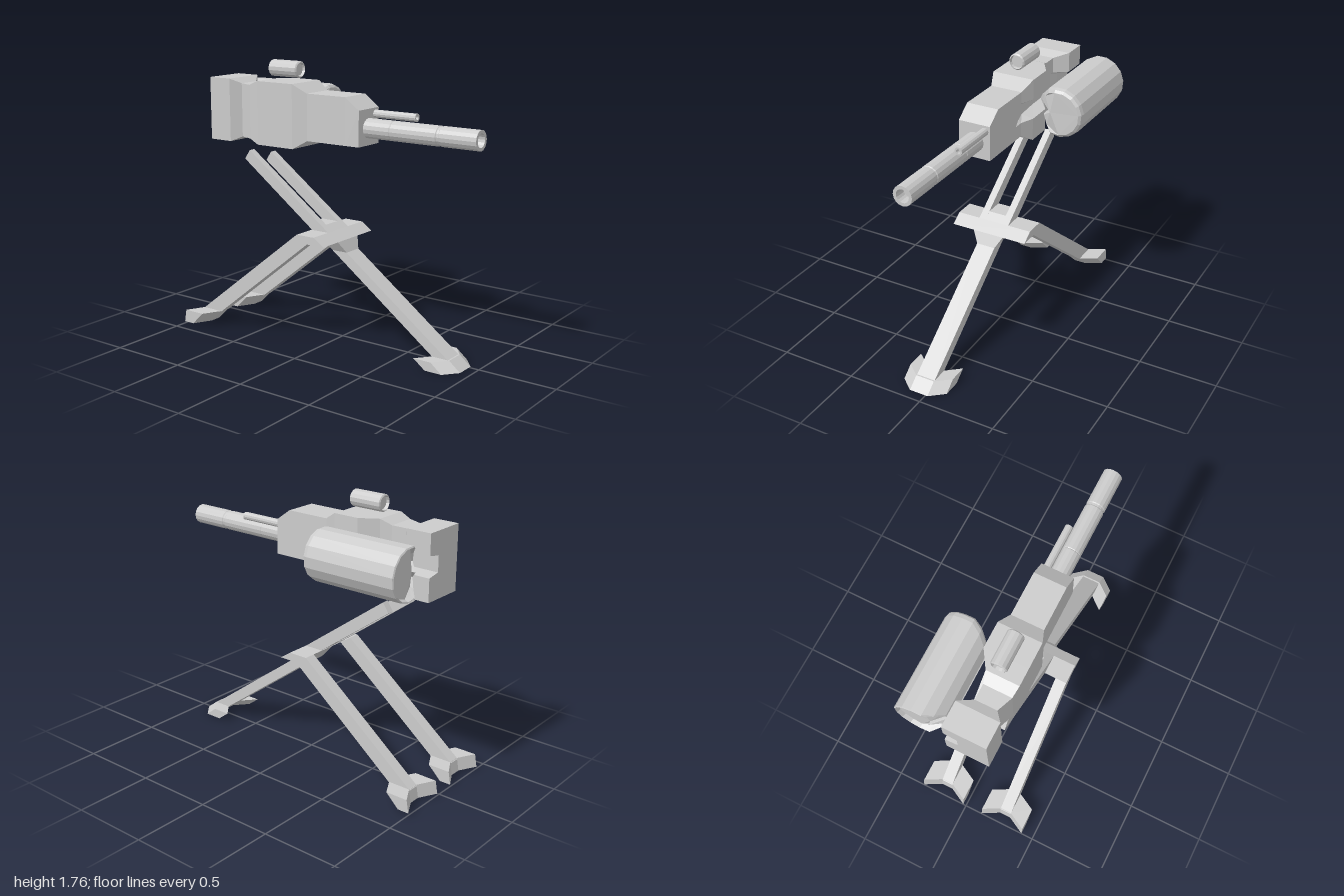
import * as THREE from 'three';

const material = new THREE.MeshStandardMaterial({ color: 0xcccccc, flatShading: true, side: THREE.DoubleSide });

// Skin a row of matching cross-sections ([x, y, z] loops) and close both ends.
// axis: the direction the row runs along (0 x, 1 y, 2 z).
function loft(name, sections, axis) {
  const n = sections[0].length, tris = [];
  const flat = (p) => new THREE.Vector2(...p.filter((_, i) => i !== axis));
  for (let s = 0; s < sections.length - 1; s++) {
    const a = sections[s], b = sections[s + 1];
    for (let i = 0; i < n; i++) {
      const j = (i + 1) % n;
      tris.push([a[i], a[j], b[j]], [a[i], b[j], b[i]]);
    }
  }
  [sections[0], sections[sections.length - 1]].forEach((loop, end) => {
    const contour = loop.map(flat);
    const turn = Math.sign(THREE.ShapeUtils.area(contour));
    for (const f of THREE.ShapeUtils.triangulateShape(contour.slice(), [])) {
      const same = Math.sign(THREE.ShapeUtils.area(f.map((i) => contour[i]))) === turn;
      const t = f.map((i) => loop[i]);
      tris.push(same === (end === 1) ? t : t.reverse());
    }
  });
  // turn the skin outward
  let volume = 0;
  const [A, B, C] = [0, 1, 2].map(() => new THREE.Vector3());
  for (const [p, q, r] of tris) volume += A.set(...p).dot(B.set(...q).cross(C.set(...r)));
  if (volume < 0) tris.forEach((t) => t.reverse());
  const geometry = new THREE.BufferGeometry();
  geometry.setAttribute('position', new THREE.Float32BufferAttribute(tris.flat(2), 3));
  geometry.computeVertexNormals();
  const mesh = new THREE.Mesh(geometry, material);
  mesh.name = name;
  return mesh;
}

// Side profile of [z, y] points carried across x; shifts moves each station in z.
function across(name, profile, xs, shifts = xs.map(() => 0)) {
  return loft(name, xs.map((x, i) => profile.map(([z, y]) => [x, y, z + shifts[i]])), 0);
}

// Turned part lying along z, from [radius, z] points.
function turned(name, profile, x, y, sides = 16) {
  const geometry = new THREE.LatheGeometry(profile.map(([r, z]) => new THREE.Vector2(r, z)), sides);
  geometry.rotateX(Math.PI / 2).translate(x, y, 0);
  const mesh = new THREE.Mesh(geometry, material);
  mesh.name = name;
  return mesh;
}

function createTripod() {
  const tripod = new THREE.Group();
  tripod.name = 'tripod';

  // crossbar and the tapering bracket under it
  tripod.add(across('crossbar', [[0, 0.72], [-0.13, 0.72], [-0.05, 0.67], [0.075, 0.67]], [-0.305, 0.21]));
  const slab = (x0, x1, y, z0, z1) => [[x0, y, z0], [x1, y, z0], [x1, y, z1], [x0, y, z1]];
  tripod.add(loft('bracket', [slab(-0.155, 0.055, 0.67, -0.05, 0.075), slab(-0.11, 0.015, 0.6, 0, 0.11)], 1));

  // front leg with its swept-back foot
  tripod.add(across('frontLeg', [[0, 0.6], [0.11, 0.6], [0.85, 0.06], [0.74, 0.06]], [-0.11, 0.015]));
  tripod.add(across('frontFoot', [[0.74, 0.06], [0.86, 0.06], [0.935, 0], [0.82, 0]],
    [-0.2, -0.11, 0.015, 0.105], [-0.075, 0, 0, -0.075]));

  // pair of rear legs and feet
  for (const x of [-0.305, 0.135]) {
    tripod.add(across('rearLeg', [[-0.05, 0.67], [-0.13, 0.72], [-0.93, 0.09], [-0.78, 0.09]], [x, x + 0.075]));
    tripod.add(across('rearFoot', [[-0.78, 0.095], [-0.925, 0.095], [-0.94, 0.012], [-0.865, 0.012]],
      [x - 0.115, x, x + 0.075, x + 0.185], [-0.06, 0, 0, -0.06]));
  }

  // two raised arms joined by a web at the base
  tripod.add(across('supportArm', [[0, 0.72], [-0.125, 0.72], [-0.67, 1.115], [-0.63, 1.175]], [-0.155, -0.11]));
  tripod.add(across('supportArm', [[0, 0.72], [-0.125, 0.72], [-0.63, 1.085], [-0.59, 1.145]], [0.01, 0.055]));
  tripod.add(across('armWeb', [[0, 0.72], [-0.125, 0.72], [-0.17, 0.755], [-0.05, 0.755]], [-0.11, 0.01]));
  return tripod;
}

function createWeapon() {
  const weapon = new THREE.Group();
  weapon.name = 'weapon';

  // receiver: slim front, flared rear with a feed slot on its left side, narrow waist, rear block
  const section = (z, x0, x1, y0, y1, slot) => [
    [x0, y0, z], [x1, y0, z], [x1, 1.37, z], [slot, 1.385, z],
    [slot, 1.485, z], [x1, 1.5, z], [x1, y1, z], [x0, y1, z]];
  weapon.add(loft('receiver', [
    section(0.23, -0.155, 0.055, 1.28, 1.502, 0.055),
    section(0.13, -0.155, 0.055, 1.28, 1.575, 0.055),
    section(-0.09, -0.155, 0.055, 1.28, 1.575, 0.055),
    section(-0.16, -0.155, 0.055, 1.28, 1.575, 0.035),
    section(-0.25, -0.19, 0.09, 1.225, 1.63, 0.01),
    section(-0.42, -0.19, 0.09, 1.225, 1.63, 0.0),
    section(-0.53, -0.19, 0.02, 1.225, 1.63, 0.0),
    section(-0.6, -0.18, 0.0, 1.255, 1.6, -0.02),
    section(-0.7, -0.14, 0.0, 1.255, 1.6, -0.02),
    section(-0.76, -0.19, 0.085, 1.225, 1.63, 0.0),
    section(-0.925, -0.19, 0.085, 1.225, 1.63, 0.0),
  ], 2));

  // barrel with two shallow rings and a bored muzzle
  weapon.add(turned('barrel', [
    [0, 0.2], [0.062, 0.2], [0.062, 0.41], [0.059, 0.415], [0.062, 0.42], [0.062, 0.73],
    [0.058, 0.735], [0.058, 0.75], [0.062, 0.755], [0.062, 1], [0.042, 1], [0.04, 0.93], [0, 0.93]],
  -0.05, 1.385));
  weapon.add(turned('sideTube', [[0, 0.2], [0.025, 0.2], [0.025, 0.53], [0.014, 0.53], [0.014, 0.5], [0, 0.5]],
    0.02, 1.465, 12));

  // floating sight
  weapon.add(turned('sight', [
    [0, -0.49], [0.042, -0.49], [0.045, -0.51], [0.053, -0.505], [0.053, -0.295],
    [0.045, -0.288], [0.04, -0.305], [0, -0.305]], -0.05, 1.705, 14));

  // ammunition drum: round shell with a wedge mouth toward the receiver, ends falling away there
  const drumLoop = (z, scale) => {
    const cx = 0.25, cy = 1.428, r = 0.162 * scale, loop = [[0.195, cy, z]];
    for (let i = 0; i <= 14; i++) {
      const a = THREE.MathUtils.degToRad(-156 + i * 23.3);
      loop.push([cx + r * Math.cos(a), cy + r * Math.sin(a), z]);
    }
    return loop.map(([x, y]) => {
      const drop = Math.max(0, 0.2 - x) * 0.9;
      return [x, y, z > -0.59 ? z - drop : z + drop];
    });
  };
  weapon.add(loft('drum', [
    drumLoop(-0.885, 0.88), drumLoop(-0.91, 0.95), drumLoop(-0.905, 1),
    drumLoop(-0.305, 1), drumLoop(-0.28, 0.96), drumLoop(-0.268, 0.86)], 2));
  return weapon;
}

export function createModel() {
  const model = new THREE.Group();
  model.name = 'mountedGun';
  model.add(createTripod(), createWeapon());
  return model;
}
